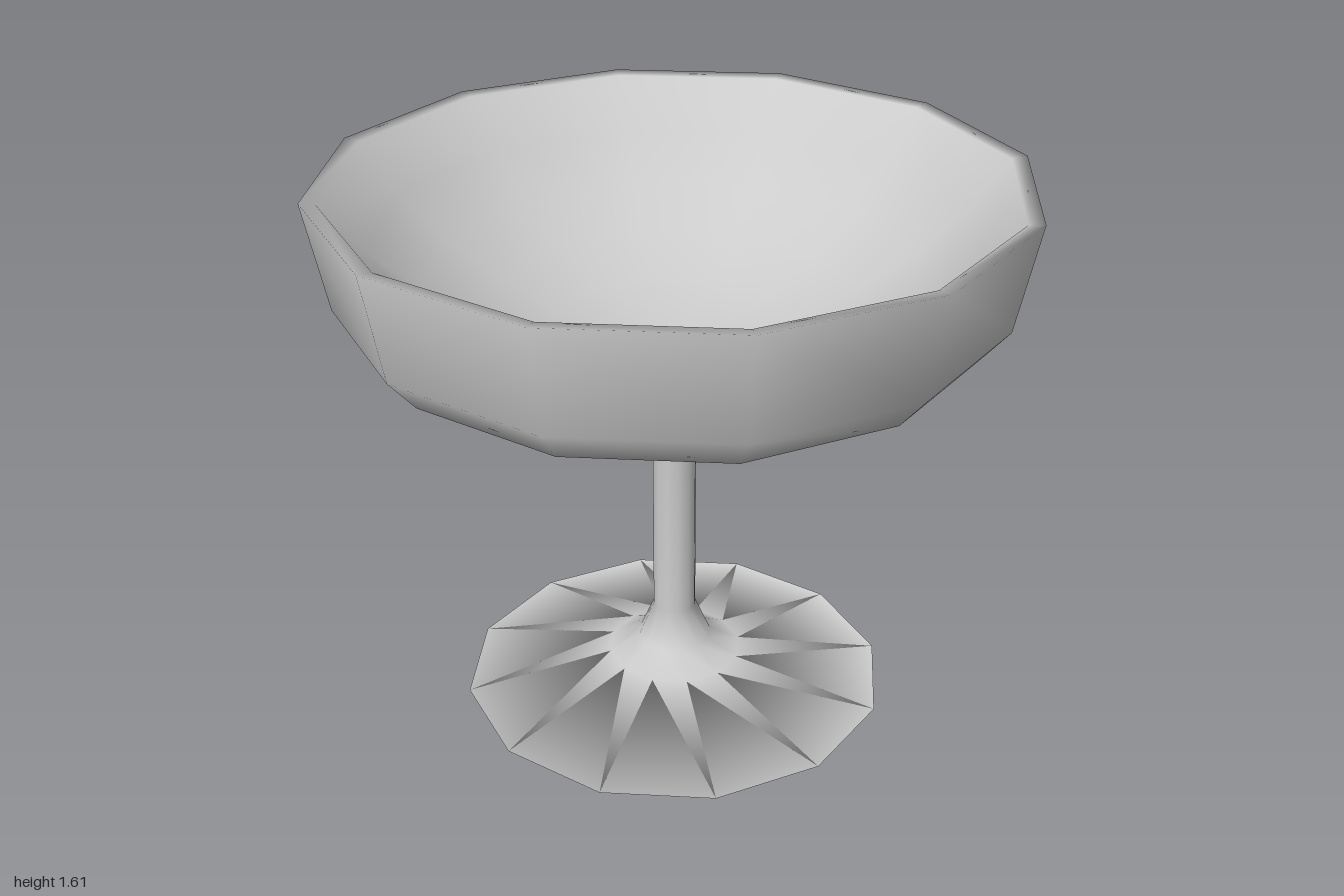
import * as THREE from 'three';

const SIDES = 12;
const material = new THREE.MeshStandardMaterial({ color: 0xcccccc });

// Turns a smooth twelve-sided part from a [radius, height] profile
function turned(name, profile) {
  const points = profile.map(([r, y]) => new THREE.Vector2(r, y));
  const mesh = new THREE.Mesh(new THREE.LatheGeometry(points, SIDES), material);
  mesh.name = name;
  return mesh;
}

// Spherical hollow from the rim down to the centre of the bowl
function hollow(rimRadius, rimY, bottomY, steps) {
  const depth = rimY - bottomY;
  const radius = (rimRadius ** 2 + depth ** 2) / (2 * depth);
  const rimAngle = Math.asin(rimRadius / radius);
  return Array.from({ length: steps + 1 }, (_, i) => {
    const a = rimAngle * (1 - i / steps);
    return [radius * Math.sin(a), bottomY + radius * (1 - Math.cos(a))];
  });
}

export function createModel() {
  const glass = new THREE.Group();
  glass.name = 'coupeGlass';

  // Flat underside, shallow conical foot and flared stem
  glass.add(turned('footAndStem', [
    [0, 0], [0.638, 0], [0.2, 0.09], [0.11, 0.14], [0.064, 0.25],
    [0.064, 0.97], [0.09, 1.02], [0.16, 1.07],
  ]));

  // Shallow cone, chamfer, flared wall, narrow lip and rounded inside
  glass.add(turned('bowl', [
    [0.16, 1.07], [0.86, 1.205], [0.94, 1.3], [1, 1.61],
    ...hollow(0.955, 1.605, 1.11, 6),
  ]));

  return glass;
}
